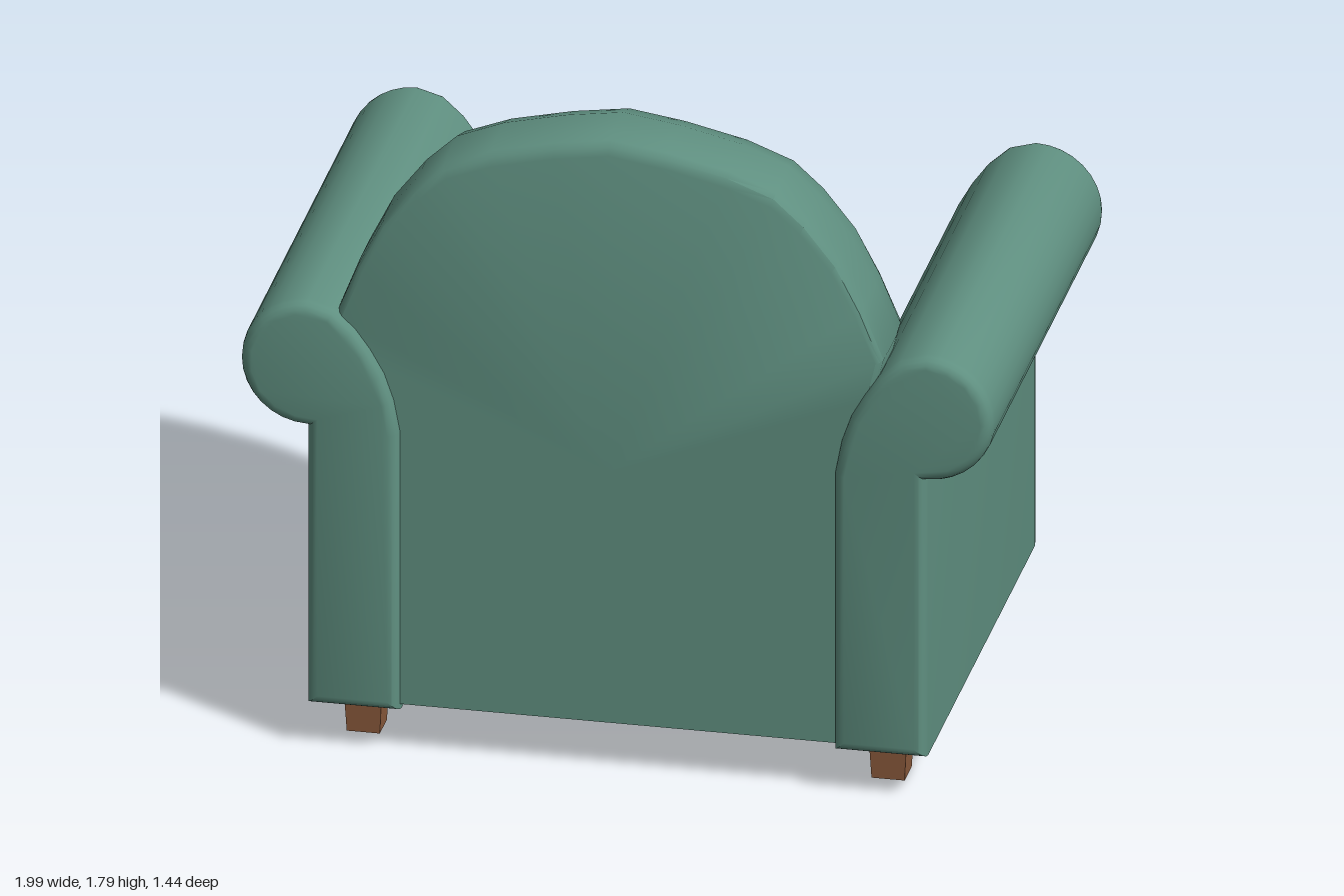
import * as THREE from 'three';
import { toCreasedNormals } from 'three/addons/utils/BufferGeometryUtils.js';
import { RoundedBoxGeometry } from 'three/addons/geometries/RoundedBoxGeometry.js';

const V2 = (x, y) => new THREE.Vector2(x, y);

// Arm outline for one side: inner edge, rolled top, then the outer panel
function armOutline(side) {
  const pts = [[0.575, 0.12], [0.575, 0.91], [0.592, 1.0], [0.618, 1.075], [0.655, 1.14], [0.695, 1.195], [0.75, 1.245]];
  for (let i = 0; i <= 16; i++) {
    const a = Math.PI / 2 - (i / 16) * Math.PI;
    pts.push([0.82 + 0.177 * Math.cos(a), 1.088 + 0.177 * Math.sin(a)]);
  }
  pts.push([0.82, 0.12]);
  return pts.map(([x, y]) => V2(x * side, y));
}

function armGeometry(side) {
  const geo = new THREE.ExtrudeGeometry(new THREE.Shape(armOutline(side)), {
    depth: 1.32, bevelThickness: 0.04, bevelSize: 0.03, bevelOffset: -0.03, bevelSegments: 4,
  });
  geo.translate(0, 0, -0.64);
  return toCreasedNormals(geo, 0.7);
}

// Welt that follows the arm's outline on its seat-end face
function pipingGeometry(side) {
  const pts = [[0.625, 0.17], [0.625, 0.5], [0.625, 0.9], [0.645, 1.02], [0.69, 1.12], [0.75, 1.19]];
  for (let i = 0; i <= 10; i++) {
    const a = Math.PI / 2 - (i / 10) * Math.PI * 1.1;
    pts.push([0.82 + 0.13 * Math.cos(a), 1.088 + 0.13 * Math.sin(a)]);
  }
  pts.push([0.772, 0.92], [0.77, 0.5], [0.77, 0.17]);
  const path = new THREE.CurvePath();
  const v = pts.map(([x, y]) => new THREE.Vector3(x * side, y, -0.679));
  v.forEach((p, i) => path.add(new THREE.LineCurve3(p, v[(i + 1) % v.length])));
  return new THREE.TubeGeometry(path, 160, 0.009, 6, true);
}

// Arched back: one outline lofted through rings, softly rounded on the seat side
function backrestGeometry() {
  const half = [[0.62, 0.135], [0.62, 0.8], [0.66, 0.95], [0.7, 1.12], [0.725, 1.23], [0.67, 1.37], [0.605, 1.5],
    [0.52, 1.61], [0.44, 1.685], [0.315, 1.735], [0.15, 1.773]];
  const outline = [...half, [0, 1.795], ...half.slice().reverse().map(([x, y]) => [-x, y])];
  // z, width factor, drop of the crown
  const rings = [[0.35, 0.94, 0.17], [0.37, 0.962, 0.1], [0.395, 0.978, 0.06], [0.43, 0.99, 0.025], [0.51, 1, 0],
    [0.62, 1, 0], [0.665, 0.997, 0.01], [0.682, 0.99, 0.022], [0.69, 0.975, 0.045]];
  const n = outline.length, pos = [], index = [];
  rings.forEach(([z, w, drop]) => outline.forEach(([x, y]) => {
    const t = THREE.MathUtils.clamp((y - 1.15) / 0.6, 0, 1);
    pos.push(x * w - 0.025, y - drop * t, z);
  }));
  for (let i = 0; i < rings.length - 1; i++) {
    for (let j = 0; j < n; j++) {
      const a = i * n + j, b = i * n + (j + 1) % n;
      index.push(a, b, b + n, a, b + n, a + n);
    }
  }
  const c0 = rings.length * n, last = c0 - n;
  pos.push(-0.025, 0.85, 0.35, -0.025, 0.85, 0.69);
  for (let j = 0; j < n; j++) {
    const k = (j + 1) % n;
    index.push(c0, k, j, c0 + 1, last + j, last + k);
  }
  const geo = new THREE.BufferGeometry();
  geo.setAttribute('position', new THREE.Float32BufferAttribute(pos, 3));
  geo.setIndex(index);
  return toCreasedNormals(geo, 0.65);
}

// Seat cushion: crowned side profile swept across the width
function cushionGeometry() {
  const s = new THREE.Shape();
  s.moveTo(-0.67, 0.32);
  s.lineTo(0.31, 0.32);
  s.quadraticCurveTo(0.335, 0.32, 0.335, 0.36);
  s.lineTo(0.335, 0.57);
  s.quadraticCurveTo(0.335, 0.61, 0.27, 0.63);
  s.bezierCurveTo(0.0, 0.685, -0.35, 0.675, -0.67, 0.61);
  s.quadraticCurveTo(-0.72, 0.6, -0.72, 0.54);
  s.lineTo(-0.72, 0.39);
  s.quadraticCurveTo(-0.72, 0.33, -0.67, 0.32);
  const geo = new THREE.ExtrudeGeometry(s, {
    depth: 1.1, bevelThickness: 0.018, bevelSize: 0.018, bevelOffset: -0.018, bevelSegments: 3, curveSegments: 10,
  });
  geo.rotateY(-Math.PI / 2);
  geo.translate(0.552, 0, 0);
  return toCreasedNormals(geo, 0.7);
}

export function createModel() {
  const model = new THREE.Group();
  model.name = 'armchair';
  const fabric = new THREE.MeshStandardMaterial({ color: 0x5f8f80 });
  fabric.name = 'green fabric';
  const wood = new THREE.MeshStandardMaterial({ color: 0x8b5a3c });
  wood.name = 'brown wood';

  const add = (name, geo, mat, x = 0, y = 0, z = 0) => {
    const mesh = new THREE.Mesh(geo, mat);
    mesh.name = name;
    mesh.position.set(x, y, z);
    model.add(mesh);
    return mesh;
  };

  add('seatBase', new RoundedBoxGeometry(1.18, 0.265, 1.34, 3, 0.02), fabric, 0, 0.2675, 0);
  add('seatCushion', cushionGeometry(), fabric);
  add('backrest', backrestGeometry(), fabric);

  // Arms and their piping
  for (const side of [1, -1]) {
    const label = side > 0 ? 'left' : 'right';
    add(label + 'Arm', armGeometry(side), fabric);
    add(label + 'ArmPiping', pipingGeometry(side), fabric);
  }

  // Tapered square legs
  const legGeo = new THREE.CylinderGeometry(0.072, 0.062, 0.13, 4).toNonIndexed();
  legGeo.rotateY(Math.PI / 4);
  legGeo.computeVertexNormals();
  for (const x of [0.695, -0.695]) {
    for (const z of [0.55, -0.54]) add('leg', legGeo, wood, x, 0.065, z);
  }
  return model;
}
